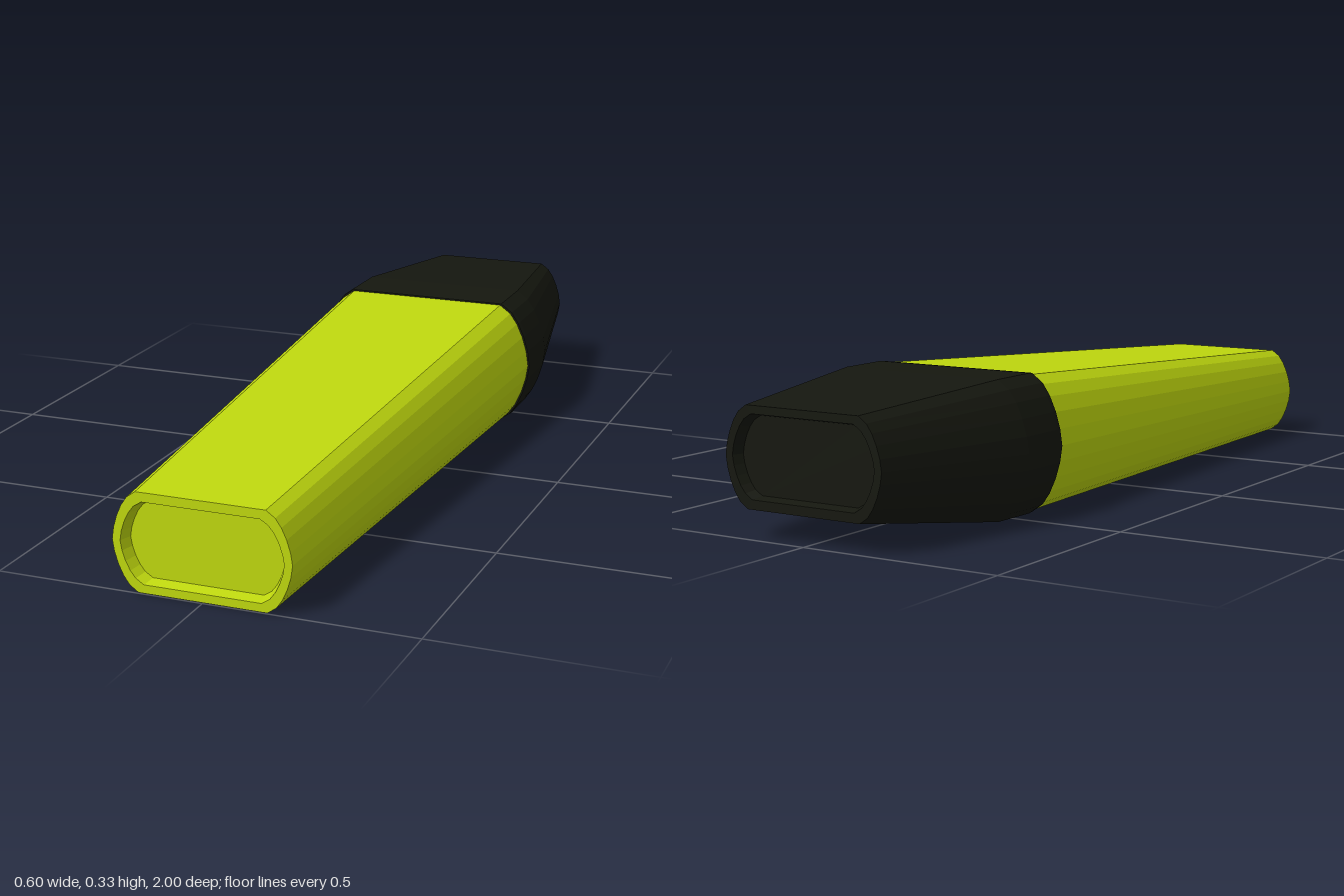
import * as THREE from 'three';

// Quarter of the unit cross-section: flat top, bulging side
const QUARTER = [[1, 0], [0.98, 0.24], [0.94, 0.48], [0.885, 0.70], [0.82, 0.87], [0.72, 1]];

// Full counter-clockwise outline, mirrored from the quarter
function outline() {
  const right = [...QUARTER.slice(1).reverse().map(([x, y]) => [x, -y]), ...QUARTER];
  const left = right.map(([x, y]) => [-x, -y]);
  return [...right, ...left];
}

// Skin a row of rings { z, w: half width, y0, y1 }, ordered from back to front
function loft(rings) {
  const section = outline();
  const n = section.length;
  const pos = [];
  const index = [];
  for (const { z, w, y0, y1 } of rings) {
    const mid = (y0 + y1) / 2, h = (y1 - y0) / 2;
    for (const [x, y] of section) pos.push(x * w, mid + y * h, z);
  }
  for (let r = 0; r < rings.length - 1; r++) {
    for (let i = 0; i < n; i++) {
      const a = r * n + i, b = r * n + (i + 1) % n;
      index.push(a, b, b + n, a, b + n, a + n);
    }
  }
  // Flat ends
  const last = (rings.length - 1) * n;
  for (let i = 1; i < n - 1; i++) {
    index.push(0, i + 1, i);
    index.push(last, last + i, last + i + 1);
  }
  const geo = new THREE.BufferGeometry();
  geo.setAttribute('position', new THREE.Float32BufferAttribute(pos, 3));
  geo.setIndex(index);
  const flat = geo.toNonIndexed();
  flat.computeVertexNormals();
  return flat;
}

function part(name, color, rings) {
  const material = new THREE.MeshStandardMaterial({ color, flatShading: true });
  const mesh = new THREE.Mesh(loft(rings), material);
  mesh.name = name;
  return mesh;
}

export function createModel() {
  const group = new THREE.Group();
  group.name = 'highlighterPen';

  // Tapered barrel with a recessed front end
  group.add(part('barrel', 0xbfd80e, [
    { z: -0.44, w: 0.292, y0: 0.004, y1: 0.326 },
    { z: -0.41, w: 0.292, y0: 0.004, y1: 0.325 },
    { z: 1, w: 0.212, y0: 0.002, y1: 0.235 },
    { z: 1, w: 0.193, y0: 0.022, y1: 0.213 },
    { z: 0.97, w: 0.183, y0: 0.028, y1: 0.208 },
  ]));

  // Cap with a recessed back end and a bevelled mouth
  group.add(part('cap', 0x15170f, [
    { z: -0.975, w: 0.183, y0: 0.096, y1: 0.274 },
    { z: -1, w: 0.193, y0: 0.09, y1: 0.28 },
    { z: -1, w: 0.212, y0: 0.068, y1: 0.299 },
    { z: -0.56, w: 0.297, y0: 0.002, y1: 0.33 },
    { z: -0.43, w: 0.298, y0: 0, y1: 0.33 },
    { z: -0.415, w: 0.296, y0: 0.001, y1: 0.329 },
  ]));

  return group;
}
